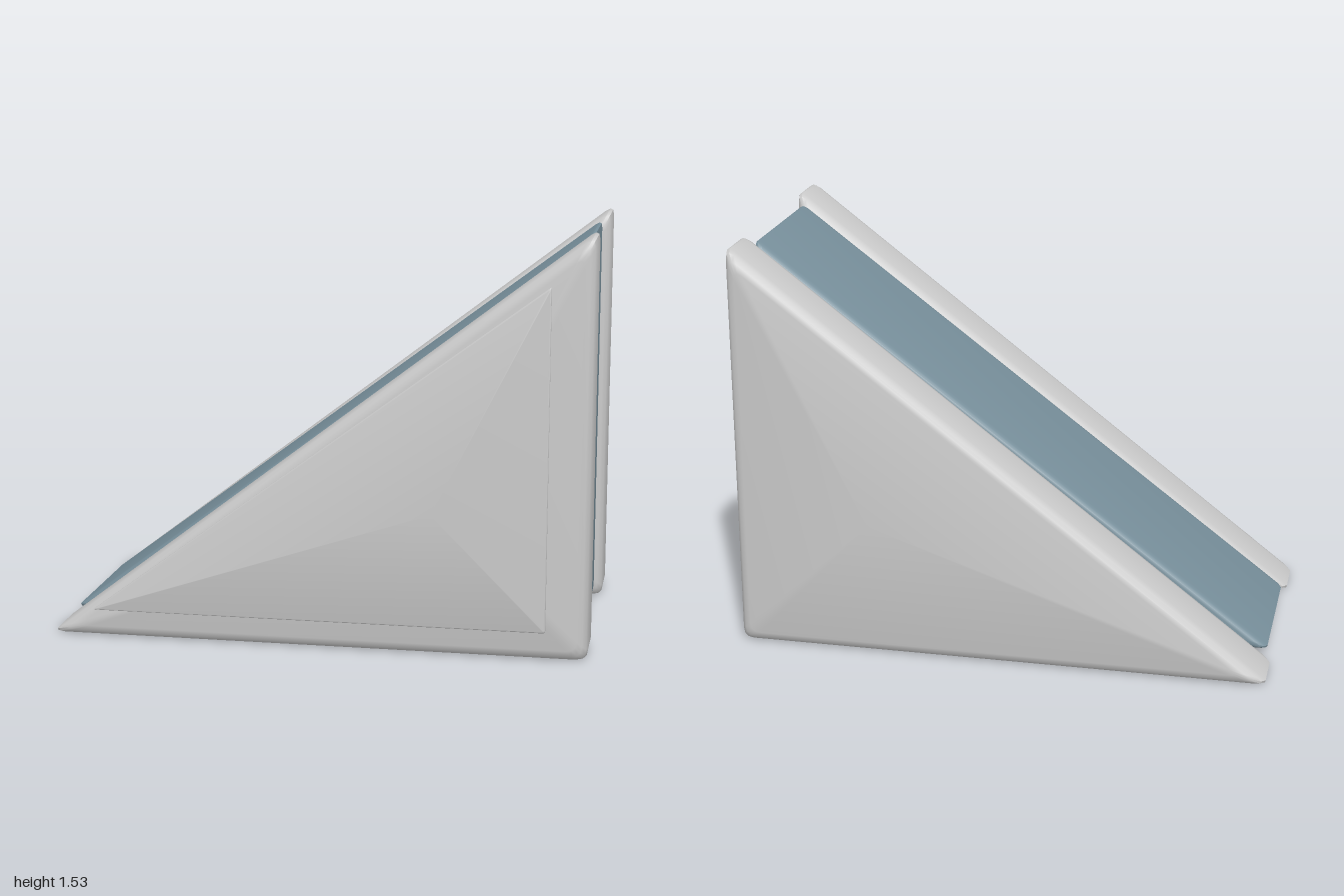
import * as THREE from 'three';
import { toCreasedNormals } from 'three/addons/utils/BufferGeometryUtils.js';

const grey = new THREE.MeshStandardMaterial({ color: 0xcccccc });
const blueGrey = new THREE.MeshStandardMaterial({ color: 0x78909c });

// Right-angled outline (counter-clockwise), each corner softened by distance t
function roundedTriangle(left, right, bottom, top, t) {
  const v = [[left, bottom], [right, bottom], [right, top]].map(p => new THREE.Vector2(...p));
  return v.flatMap((p, i) => {
    const toward = q => p.clone().add(q.clone().sub(p).setLength(t));
    const curve = new THREE.QuadraticBezierCurve(toward(v[(i + 2) % 3]), p, toward(v[(i + 1) % 3]));
    return curve.getPoints(3);
  });
}

// Wedge slab with rounded rims: scaling a triangle about its incentre insets all sides equally
function wedge({ left, right, bottom, top, z0, z1, corner, inset, depth }) {
  const outline = roundedTriangle(left, right, bottom, top, corner);
  const w = right - left, h = top - bottom;
  const r = (w + h - Math.hypot(w, h)) / 2;
  const cx = right - r, cy = bottom + r, n = outline.length, steps = 3;

  // Layers of the rim, back to front
  const layers = [];
  for (let k = 0; k <= steps; k++) {
    const a = (k / steps) * Math.PI / 2;
    layers.push({ d: inset * (1 - Math.sin(a)), z: depth * (1 - Math.cos(a)) });
  }
  const all = [
    ...layers.map(l => ({ d: l.d, z: z0 + l.z })),
    ...[...layers].reverse().map(l => ({ d: l.d, z: z1 - l.z })),
  ];

  const pos = [], index = [];
  for (const { d, z } of all) {
    const s = 1 - d / r;
    for (const p of outline) pos.push(cx + (p.x - cx) * s, cy + (p.y - cy) * s, z);
  }
  const back = pos.length / 3, front = back + 1, last = (all.length - 1) * n;
  pos.push(cx, cy, z0, cx, cy, z1);
  for (let i = 0; i < n; i++) {
    const j = (i + 1) % n;
    for (let k = 0; k < all.length - 1; k++) {
      const a = k * n + i, b = k * n + j;
      index.push(a, b, b + n, a, b + n, a + n);
    }
    index.push(back, j, i, front, last + i, last + j);
  }
  const g = new THREE.BufferGeometry();
  g.setAttribute('position', new THREE.Float32BufferAttribute(pos, 3));
  g.setIndex(index);
  return toCreasedNormals(g, 0.7);
}

export function createModel() {
  const group = new THREE.Group();
  const add = (name, material, params) => {
    const mesh = new THREE.Mesh(wedge(params), material);
    mesh.name = name;
    group.add(mesh);
  };

  // Two matching outer slabs
  const slab = { left: -1.02, right: 0.997, bottom: 0.002, top: 1.552, corner: 0.04, inset: 0.04, depth: 0.045 };
  add('frontSlab', grey, { ...slab, z0: 0.297, z1: 0.54 });
  add('backSlab', grey, { ...slab, z0: -0.57, z1: -0.327 });

  // Coloured core between the slabs
  add('core', blueGrey, {
    left: -0.998, right: 0.966, bottom: 0.033, top: 1.517, z0: -0.32, z1: 0.29,
    corner: 0.03, inset: 0.02, depth: 0.035,
  });

  // Thin raised panel on the front
  add('frontPanel', grey, {
    left: -0.84, right: 0.846, bottom: 0.113, top: 1.367, z0: 0.546, z1: 0.568,
    corner: 0.008, inset: 0.005, depth: 0.007,
  });
  return group;
}
